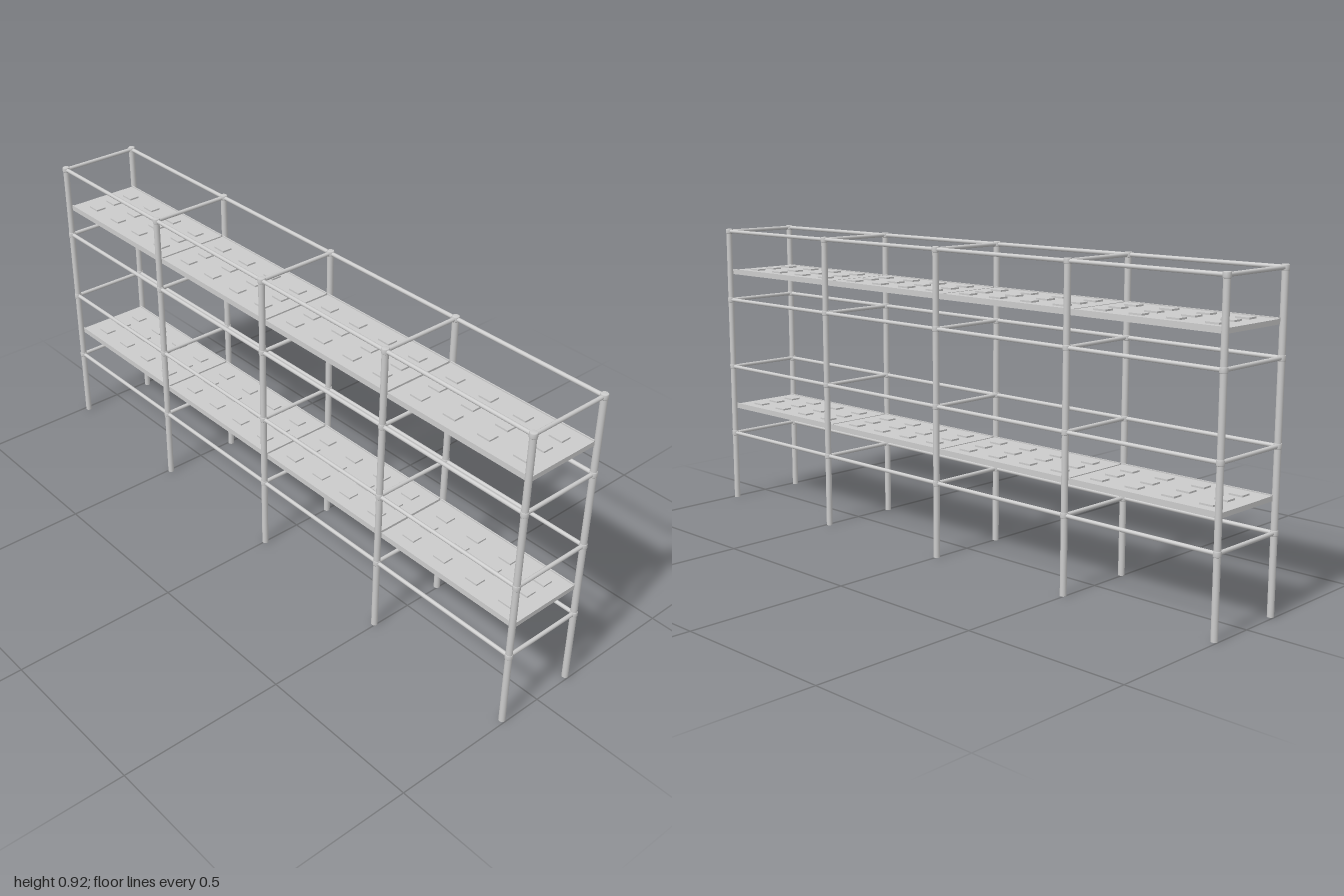
import * as THREE from 'three';

const POST_X = [-0.989, -0.4945, 0, 0.4945, 0.989];
const RAIL_Y = [0.227, 0.457, 0.685, 0.914];
const DECK_Y = [0.313, 0.771]; // underside of each deck level
const POST_Z = 0.127;

export function createModel() {
  const model = new THREE.Group();
  const material = new THREE.MeshStandardMaterial({ color: 0xcccccc });

  const add = (parent, name, geometry, x, y, z) => {
    const mesh = new THREE.Mesh(geometry, material);
    mesh.name = name;
    mesh.position.set(x, y, z);
    parent.add(mesh);
    return mesh;
  };

  // Shared tube and coupler shapes
  const post = new THREE.CylinderGeometry(0.0095, 0.0095, 0.918, 16);
  const bay = POST_X[1] - POST_X[0];
  const longRail = new THREE.CylinderGeometry(0.006, 0.006, bay, 12).rotateZ(Math.PI / 2);
  const crossRail = new THREE.CylinderGeometry(0.006, 0.006, POST_Z * 2, 12).rotateX(Math.PI / 2);
  const profile = [[0, -0.008], [0.0095, -0.008], [0.011, -0.006], [0.011, 0.006], [0.0095, 0.008], [0, 0.008]];
  const coupler = new THREE.LatheGeometry(profile.map(p => new THREE.Vector2(...p)), 16);

  // Upright posts with a coupler at every rail level
  for (const x of POST_X) {
    for (const z of [-POST_Z, POST_Z]) {
      add(model, 'post', post, x, 0.459, z);
      for (const y of RAIL_Y) add(model, 'coupler', coupler, x, y, z);
    }
    for (const y of RAIL_Y) add(model, 'crossRail', crossRail, x, y, 0);
  }

  // Deck panel: plate, low side rims and raised grip pads
  const plate = new THREE.BoxGeometry(0.488, 0.014, 0.238);
  const rim = new THREE.BoxGeometry(0.488, 0.003, 0.004);
  const pad = new THREE.BoxGeometry(0.042, 0.005, 0.032);
  const addDeck = (x, y) => {
    const deck = new THREE.Group();
    deck.name = 'deck';
    deck.position.set(x, y, 0);
    add(deck, 'deckPlate', plate, 0, 0.007, 0);
    for (const z of [-0.117, 0.117]) add(deck, 'deckRim', rim, 0, 0.0155, z);
    for (let i = 0; i < 4; i++) {
      for (let j = -1; j <= 1; j++) add(deck, 'gripPad', pad, (i - 1.5) * 0.118, 0.0165, j * 0.065);
    }
    model.add(deck);
  };

  // Long rails and decks of each bay
  for (let i = 0; i < POST_X.length - 1; i++) {
    const x = (POST_X[i] + POST_X[i + 1]) / 2;
    for (const y of RAIL_Y) {
      for (const z of [-POST_Z, POST_Z]) add(model, 'longRail', longRail, x, y, z);
    }
    for (const y of DECK_Y) addDeck(x, y);
  }

  return model;
}
